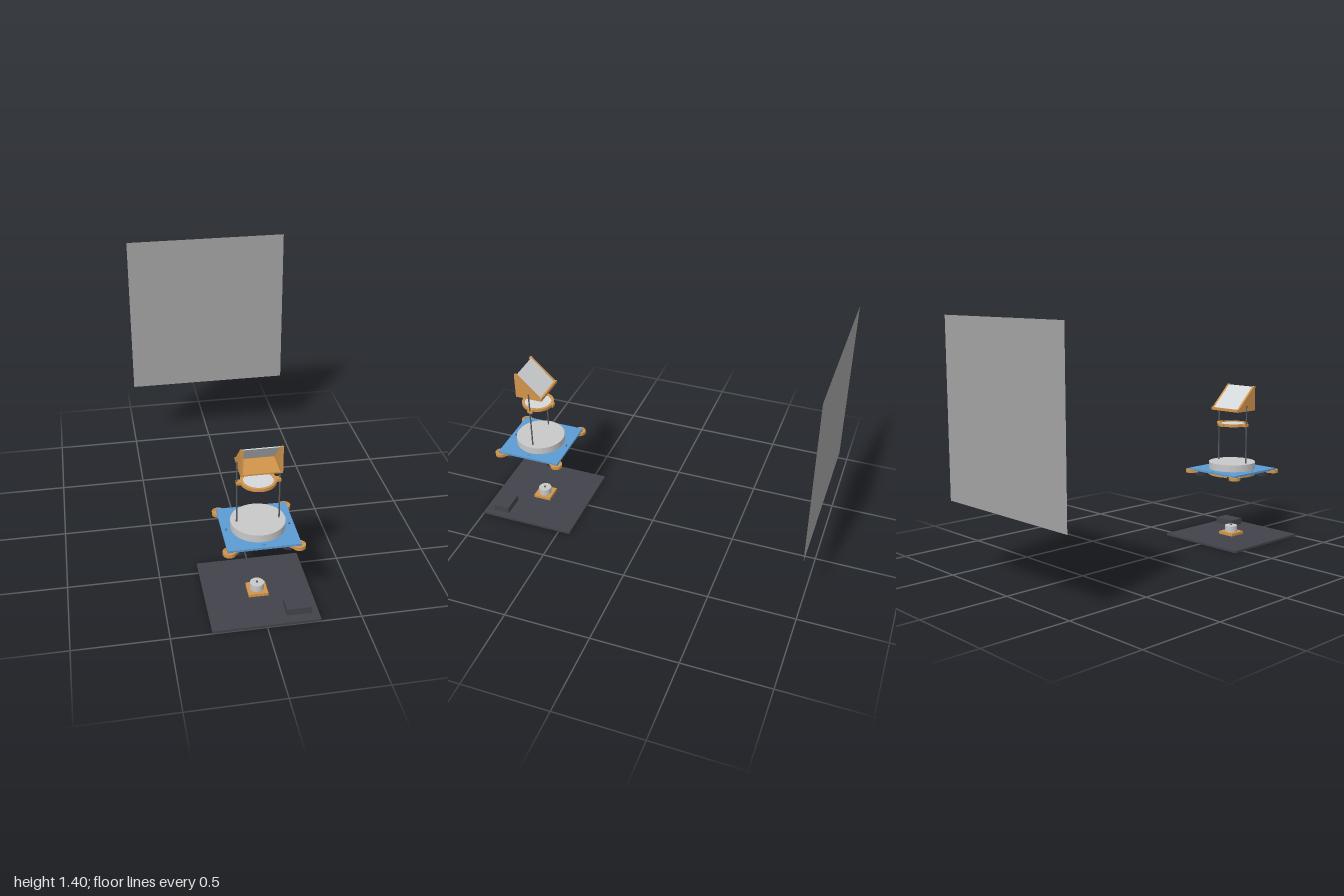
import * as THREE from 'three';

const mat = (name, color, side = THREE.FrontSide) => {
  const m = new THREE.MeshStandardMaterial({ color, side });
  m.name = name;
  return m;
};

export function createModel() {
  const orange = mat('orange plastic', 0xd2954c);
  const blue = mat('blue panel', 0x5c9bd3);
  const dark = mat('charcoal board', 0x42424a);
  const black = mat('black rubber', 0x38383d);
  const metal = mat('light metal', 0xc8c8c8);
  const glass = mat('mirror glass', 0xd5d8da);
  const rodGrey = mat('rod steel', 0x5a5c60);
  const screenGrey = mat('screen grey', 0xa2a2a2, THREE.DoubleSide);

  const model = new THREE.Group();
  const rig = new THREE.Group();
  rig.name = 'projectorRig';
  rig.position.z = 0.714;
  model.add(rig);

  const add = (name, geo, m, x = 0, y = 0, z = 0, parent = rig) => {
    const mesh = new THREE.Mesh(geo, m);
    mesh.name = name;
    mesh.position.set(x, y, z);
    parent.add(mesh);
    return mesh;
  };
  // Box and cylinder given by their bottom height
  const box = (name, m, w, h, d, x, y, z) => add(name, new THREE.BoxGeometry(w, h, d), m, x, y + h / 2, z);
  const cyl = (name, m, r, h, x, y, z, seg = 40) => add(name, new THREE.CylinderGeometry(r, r, h, seg), m, x, y + h / 2, z);
  // Flat plate cut from a shape drawn in x and z
  const plate = (name, m, shape, h, x, y, z) => {
    const geo = new THREE.ExtrudeGeometry(shape, { depth: h, bevelEnabled: false, curveSegments: 32 });
    geo.rotateX(-Math.PI / 2);
    return add(name, geo, m, x, y, z);
  };
  const rect = (w, d, x = 0, y = 0, Type = THREE.Shape) => new Type([
    [-w, -d], [w, -d], [w, d], [-w, d]].map(([a, b]) => new THREE.Vector2(x + a / 2, y + b / 2)));
  const circle = (r, Type = THREE.Shape) => {
    const s = new Type();
    s.absarc(0, 0, r, 0, Math.PI * 2, false);
    return s;
  };
  const ring = (outer, inner) => {
    const s = circle(outer);
    s.holes.push(circle(inner, THREE.Path));
    return s;
  };

  // Projection screen
  add('projectionScreen', new THREE.PlaneGeometry(0.987, 0.99), screenGrey, 0, 0.91, -1, model);

  // Base board with lamp and power supply
  box('baseBoard', dark, 0.57, 0.013, 0.57, 0, 0, 0);
  box('powerSupply', dark, 0.132, 0.039, 0.096, 0.18, 0.013, 0.182);
  box('lampMount', orange, 0.106, 0.017, 0.106, 0, 0.013, 0);
  cyl('lampBody', metal, 0.038, 0.038, 0, 0.03, 0);
  cyl('lampShaft', rodGrey, 0.006, 0.006, 0, 0.068, 0, 16);

  // Blue carrier panel with a central opening and four slots
  const panel = rect(0.378, 0.378);
  panel.holes.push(circle(0.12, THREE.Path));
  for (const s of [-1, 1]) {
    panel.holes.push(rect(0.01, 0.022, s * 0.166, 0, THREE.Path));
    panel.holes.push(rect(0.022, 0.01, 0, s * 0.166, THREE.Path));
  }
  plate('carrierPanel', blue, panel, 0.012, 0, 0.421, 0);
  cyl('lensDrum', metal, 0.143, 0.042, 0, 0.433, 0, 64);

  // Retaining ring hung under the panel
  plate('retainingRing', orange, ring(0.145, 0.118), 0.01, 0, 0.397, 0);
  for (const a of [0, 1, 2, 3]) {
    cyl('ringSpacer', orange, 0.008, 0.016, 0.132 * Math.cos(a * Math.PI / 2), 0.406, 0.132 * Math.sin(a * Math.PI / 2), 12);
  }

  // Corner feet: rubber pad, arm and rounded outer clip
  for (const sx of [-1, 1]) for (const sz of [-1, 1]) {
    cyl('rubberFoot', black, 0.041, 0.024, sx * 0.133, 0.39, sz * 0.133, 32);
    const arm = box('footArm', orange, 0.07, 0.013, 0.066, sx * 0.156, 0.408, sz * 0.156);
    arm.rotation.y = -sx * sz * Math.PI / 4;
    cyl('footClip', orange, 0.034, 0.015, sx * 0.178, 0.406, sz * 0.178, 32);
    plate('footClipRim', orange, ring(0.034, 0.025), 0.005, sx * 0.178, 0.42, sz * 0.178);
  }

  // Upright rods
  for (const s of [-1, 1]) cyl('supportRod', rodGrey, 0.004, 0.397, s * 0.111, 0.433, 0, 16);

  // Lens in its holder with tabs
  plate('lensRing', orange, ring(0.093, 0.078), 0.016, 0, 0.701, 0);
  cyl('lens', glass, 0.079, 0.006, 0, 0.706, 0, 48);
  for (const s of [-1, 1]) box('rodTab', orange, 0.03, 0.016, 0.03, s * 0.1, 0.701, 0);
  box('rearTab', orange, 0.028, 0.016, 0.02, 0, 0.701, -0.092);

  // Mirror cradle: two wedge cheeks, floor and rear lip
  const cheek = new THREE.Shape([
    [0.083, 0.795], [0.083, 0.945], [0.073, 0.945], [-0.065, 0.812], [-0.078, 0.812], [-0.078, 0.795],
  ].map(([z, y]) => new THREE.Vector2(-z, y)));
  for (const s of [-1, 1]) {
    const geo = new THREE.ExtrudeGeometry(cheek, { depth: 0.014, bevelEnabled: false });
    geo.translate(0, 0, -0.007);
    geo.rotateY(Math.PI / 2);
    add('cradleCheek', geo, orange, s * 0.1, 0, 0);
  }
  box('cradleFloor', orange, 0.19, 0.008, 0.161, 0, 0.795, 0.0025);
  box('cradleLip', orange, 0.19, 0.016, 0.012, 0, 0.795, -0.072);

  // Tilted mirror
  const mirror = add('mirror', new THREE.BoxGeometry(0.188, 0.005, 0.19), glass, 0, 0.874, 0.003);
  mirror.rotation.x = -Math.atan2(0.133, 0.138);

  return model;
}
